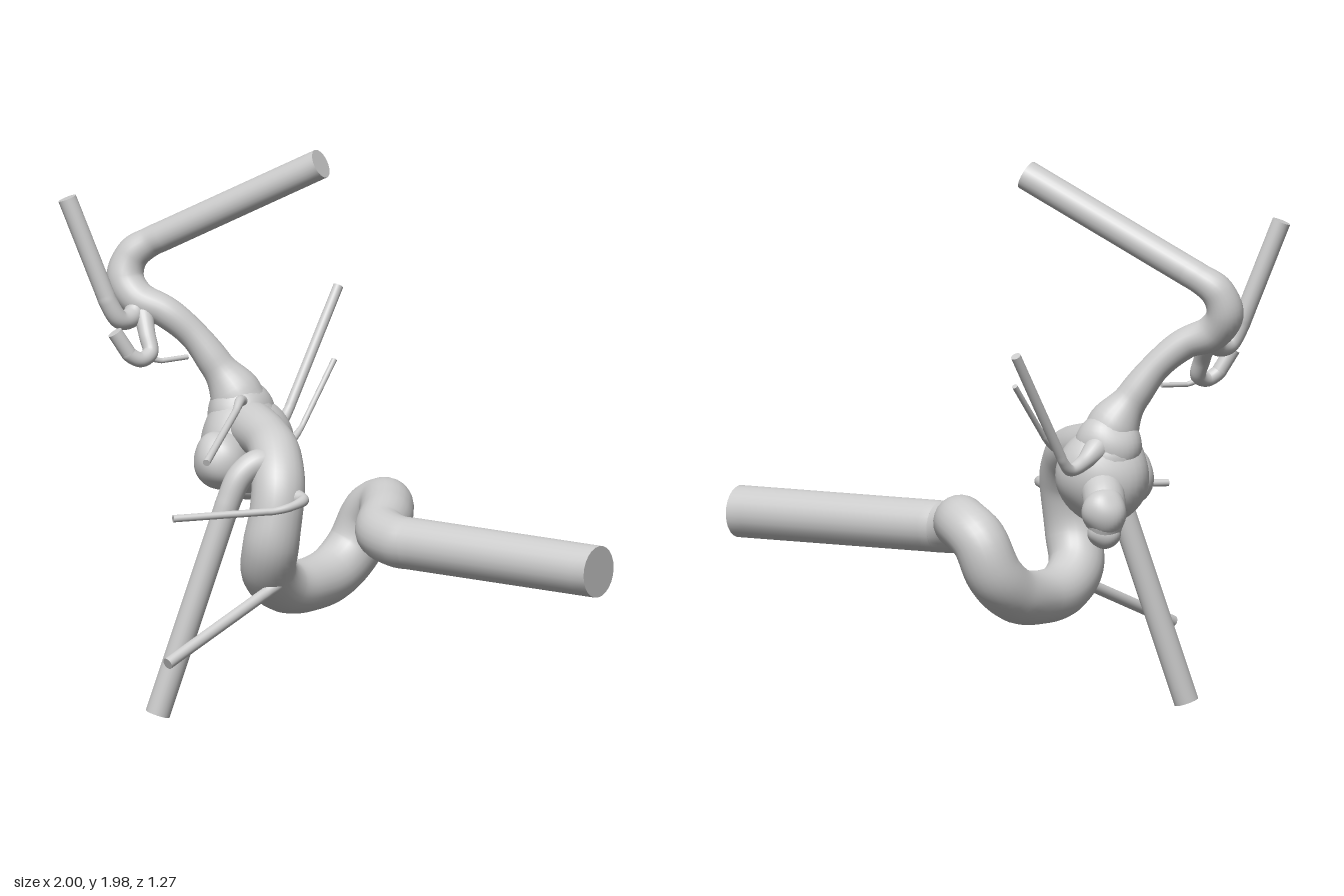
import * as THREE from 'three';
import { mergeVertices } from 'three/addons/utils/BufferGeometryUtils.js';

const material = new THREE.MeshStandardMaterial({ color: 0xcccccc });
const SIDES = 24;

// Capped tube through points [x, y, z, radius]; the first span stays straight when asked.
function vessel(name, points, straight = true) {
  let pts = points.map((p) => new THREE.Vector4(...p));
  if (straight) {
    const [a, b] = pts;
    pts = [a, a.clone().lerp(b, 0.5), a.clone().lerp(b, 0.93), ...pts.slice(1)];
  }
  const curve = new THREE.CatmullRomCurve3(pts.map((p) => new THREE.Vector3(p.x, p.y, p.z)));
  const spans = pts.length - 1;
  const steps = spans * 7;
  const pos = [];
  const index = [];
  const normal = new THREE.Vector3(0.31, 0.52, 0.8);
  const side = new THREE.Vector3();
  const v = new THREE.Vector3();
  const rings = [];
  for (let i = 0; i <= steps; i++) {
    const t = i / steps;
    const k = Math.min(Math.floor(t * spans), spans - 1);
    const r = THREE.MathUtils.lerp(pts[k].w, pts[k + 1].w, THREE.MathUtils.smoothstep(t * spans - k, 0, 1));
    const centre = curve.getPoint(t);
    const tangent = curve.getTangent(t);
    normal.addScaledVector(tangent, -normal.dot(tangent)).normalize();
    side.crossVectors(tangent, normal);
    const ring = [];
    for (let j = 0; j < SIDES; j++) {
      const a = (j / SIDES) * Math.PI * 2;
      v.copy(centre).addScaledVector(normal, r * Math.cos(a)).addScaledVector(side, r * Math.sin(a));
      ring.push(v.x, v.y, v.z);
    }
    pos.push(...ring);
    rings.push({ ring, centre });
  }
  for (let i = 0; i < steps; i++) {
    for (let j = 0; j < SIDES; j++) {
      const a = i * SIDES + j;
      const b = i * SIDES + ((j + 1) % SIDES);
      index.push(a, b, a + SIDES, b, b + SIDES, a + SIDES);
    }
  }
  // flat end caps with their own vertices
  [rings[0], rings[steps]].forEach(({ ring, centre }, end) => {
    const base = pos.length / 3;
    pos.push(...ring, centre.x, centre.y, centre.z);
    for (let j = 0; j < SIDES; j++) {
      const a = base + j;
      const b = base + ((j + 1) % SIDES);
      index.push(base + SIDES, end ? a : b, end ? b : a);
    }
  });
  const geometry = new THREE.BufferGeometry();
  geometry.setAttribute('position', new THREE.Float32BufferAttribute(pos, 3));
  geometry.setIndex(index);
  geometry.computeVertexNormals();
  const mesh = new THREE.Mesh(geometry, material);
  mesh.name = name;
  return mesh;
}

// Slightly lumpy ellipsoid
function lobe(name, centre, radii, lump = 0.035) {
  let geometry = new THREE.SphereGeometry(1, 36, 24);
  geometry.deleteAttribute('uv');
  geometry.deleteAttribute('normal');
  geometry = mergeVertices(geometry, 1e-4);
  const p = geometry.attributes.position;
  for (let i = 0; i < p.count; i++) {
    const [x, y, z] = [p.getX(i), p.getY(i), p.getZ(i)];
    const s = 1 + lump * (Math.sin(4 * x + 3 * y) + Math.sin(5 * z - 2 * y + 1)) * 0.7;
    p.setXYZ(i, x * s, y * s, z * s);
  }
  geometry.scale(...radii);
  geometry.computeVertexNormals();
  const mesh = new THREE.Mesh(geometry, material);
  mesh.position.set(...centre);
  mesh.name = name;
  return mesh;
}

export function createModel() {
  const model = new THREE.Group();
  model.name = 'branchingVessel';

  // Thick inlet, its looping bend, and the run into the sac
  model.add(vessel('mainVessel', [
    [0.975, 0.622, -0.38, 0.092], [0.14, 0.635, -0.175, 0.092],
    [0.02, 0.65, -0.2, 0.093], [-0.07, 0.685, -0.3, 0.095], [-0.17, 0.7, -0.38, 0.095],
    [-0.27, 0.65, -0.395, 0.098], [-0.31, 0.53, -0.36, 0.1], [-0.31, 0.45, -0.26, 0.098],
    [-0.29, 0.425, -0.12, 0.095], [-0.275, 0.44, 0.0, 0.095], [-0.24, 0.51, 0.1, 0.098],
    [-0.19, 0.61, 0.135, 0.1], [-0.175, 0.72, 0.125, 0.095], [-0.19, 0.82, 0.1, 0.095],
    [-0.26, 0.91, 0.05, 0.09], [-0.36, 0.95, 0.0, 0.085], [-0.5, 0.97, -0.05, 0.09],
  ]));

  // Sac with its bulges
  model.add(lobe('sac', [-0.58, 0.89, -0.09], [0.165, 0.175, 0.17]));
  model.add(lobe('sacShoulder', [-0.61, 1.0, -0.09], [0.12, 0.12, 0.12]));
  model.add(lobe('frontBulge', [-0.53, 0.86, 0.07], [0.1, 0.105, 0.1]));
  model.add(vessel('sideBulge', [
    [-0.62, 0.87, -0.14, 0.08], [-0.69, 0.83, -0.19, 0.075], [-0.73, 0.77, -0.22, 0.07], [-0.725, 0.71, -0.22, 0.058],
  ], false));
  model.add(lobe('sideBulgeTop', [-0.73, 0.785, -0.225], [0.08, 0.085, 0.08]));
  model.add(lobe('sideBulgeTip', [-0.725, 0.71, -0.22], [0.06, 0.055, 0.06]));

  // Upper vessel, from its free end down to the sac
  model.add(vessel('upperVessel', [
    [-0.272, 1.93, -0.17, 0.053], [-0.87, 1.6, 0.1, 0.053],
    [-0.925, 1.55, 0.14, 0.06], [-0.935, 1.47, 0.165, 0.066], [-0.88, 1.4, 0.155, 0.064],
    [-0.8, 1.36, 0.1, 0.056], [-0.73, 1.28, 0.03, 0.052], [-0.67, 1.17, -0.03, 0.06],
    [-0.62, 1.06, -0.08, 0.095], [-0.6, 0.97, -0.09, 0.13],
  ]));

  // Lower front branch
  model.add(vessel('lowerBranch', [
    [-0.44, 0.012, 0.445, 0.044], [-0.295, 0.77, 0.24, 0.044],
    [-0.275, 0.86, 0.2, 0.047], [-0.25, 0.9, 0.14, 0.05], [-0.22, 0.88, 0.06, 0.05],
  ]));

  // Branches near the upper bend
  model.add(vessel('upperSideBranch', [
    [-0.963, 1.78, 0.412, 0.033], [-0.86, 1.41, 0.31, 0.033],
    [-0.845, 1.345, 0.27, 0.034], [-0.85, 1.345, 0.21, 0.036], [-0.87, 1.39, 0.16, 0.04],
  ]));
  model.add(vessel('curledBranch', [
    [-0.79, 1.315, 0.34, 0.027], [-0.765, 1.235, 0.295, 0.027],
    [-0.75, 1.212, 0.255, 0.027], [-0.755, 1.23, 0.205, 0.028], [-0.79, 1.29, 0.19, 0.03], [-0.84, 1.36, 0.165, 0.035],
  ]));
  model.add(vessel('curlTwig', [[-0.71, 1.205, 0.07, 0.009], [-0.735, 1.2, 0.17, 0.009], [-0.75, 1.215, 0.22, 0.011]]));

  // Thin branches
  model.add(vessel('backBranch', [
    [-0.695, 1.375, -0.62, 0.018], [-0.662, 0.97, -0.36, 0.018],
    [-0.655, 0.935, -0.32, 0.021], [-0.65, 0.95, -0.26, 0.027], [-0.64, 1.0, -0.17, 0.045],
  ]));
  model.add(vessel('backTwig', [
    [-0.355, 1.2, -0.305, 0.01], [-0.315, 0.99, -0.12, 0.01], [-0.3, 0.95, -0.06, 0.014], [-0.29, 0.92, 0.02, 0.025],
  ]));
  model.add(vessel('frontTwig', [
    [-0.305, 0.917, 0.335, 0.013], [-0.485, 1.04, 0.04, 0.013], [-0.52, 1.065, -0.01, 0.018], [-0.57, 1.03, -0.07, 0.035],
  ]));
  model.add(vessel('middleTwig', [
    [-0.225, 0.757, 0.56, 0.013], [-0.065, 0.765, 0.23, 0.013],
    [-0.045, 0.775, 0.17, 0.015], [-0.055, 0.79, 0.1, 0.02], [-0.13, 0.79, 0.09, 0.035],
  ]));
  model.add(vessel('lowerTwig', [
    [-0.18, 0.252, 0.625, 0.021], [-0.18, 0.45, 0.16, 0.021], [-0.178, 0.49, 0.1, 0.026], [-0.21, 0.55, 0.1, 0.045],
  ]));
  return model;
}
